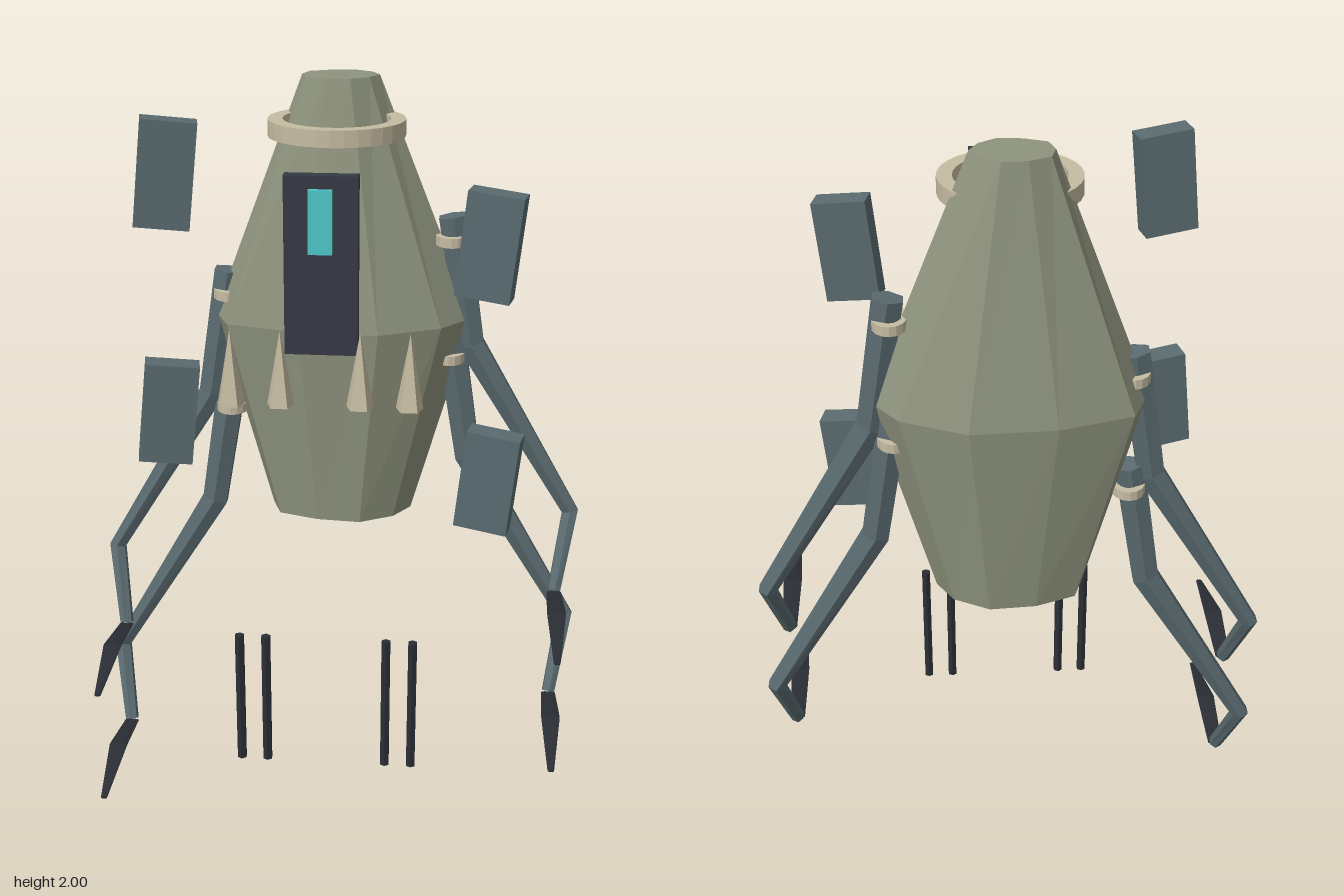
import * as THREE from 'three';

const mat = (name, color) => {
  const m = new THREE.MeshStandardMaterial({ color, flatShading: true });
  m.name = name;
  return m;
};

// Faceted solid through nodes [x, y, z, radiusU, radiusV]; u is the preferred cross-section axis
function loft(nodes, sides, uAxis, wobble = [], phase = 0) {
  const pts = nodes.map(n => new THREE.Vector3(n[0], n[1], n[2]));
  const rings = pts.map((p, i) => {
    const t = new THREE.Vector3();
    if (i > 0) t.add(p.clone().sub(pts[i - 1]).normalize());
    if (i < pts.length - 1) t.add(pts[i + 1].clone().sub(p).normalize());
    t.normalize();
    const u = uAxis.clone().addScaledVector(t, -uAxis.dot(t)).normalize();
    const v = t.clone().cross(u);
    return Array.from({ length: sides }, (_, k) => {
      const a = phase + (k / sides) * Math.PI * 2, w = wobble[k] ?? 1;
      return p.clone().addScaledVector(u, Math.cos(a) * nodes[i][3] * w)
        .addScaledVector(v, Math.sin(a) * nodes[i][4] * w);
    });
  });
  const out = [];
  const tri = (...c) => c.forEach(p => out.push(p.x, p.y, p.z));
  const last = rings.length - 1;
  for (let k = 0; k < sides; k++) {
    const n = (k + 1) % sides;
    for (let i = 0; i < last; i++) {
      const [a, b] = [rings[i], rings[i + 1]];
      tri(a[k], a[n], b[n]);
      tri(a[k], b[n], b[k]);
    }
    tri(pts[0], rings[0][n], rings[0][k]);
    tri(pts[last], rings[last][k], rings[last][n]);
  }
  const g = new THREE.BufferGeometry();
  g.setAttribute('position', new THREE.Float32BufferAttribute(out, 3));
  g.computeVertexNormals();
  return g;
}

// Flat band with a rectangular section
function band(inner, outer, height, segments) {
  const h = height / 2;
  const profile = [[inner, -h], [outer, -h], [outer, h], [inner, h], [inner, -h]];
  return new THREE.LatheGeometry(profile.map(p => new THREE.Vector2(...p)), segments);
}

export function createModel() {
  const model = new THREE.Group();
  model.name = 'walker';
  const hull = mat('olive grey', 0x8f947e);
  const steel = mat('slate', 0x5a6b70);
  const bone = mat('bone', 0xc6bca2);
  const dark = mat('charcoal', 0x363a43);
  const black = mat('near black', 0x2a2e34);
  const glow = mat('cyan', 0x4fc8c8);
  const X = new THREE.Vector3(1, 0, 0), Z = new THREE.Vector3(0, 0, 1);

  const add = (name, geometry, material, x = 0, y = 0, z = 0, parent = model) => {
    const m = new THREE.Mesh(geometry, material);
    m.name = name;
    m.position.set(x, y, z);
    parent.add(m);
    return m;
  };

  // Body: flattened ten-sided hull, widest above the middle
  const wobble = [1.01, 0.98, 1.03, 0.97, 1.04, 0.98, 1.04, 0.94, 1.02, 0.96];
  add('body', loft([
    [0.004, 0.735, -0.185, 0.205, 0.131],
    [0.004, 1.325, -0.185, 0.37, 0.197],
    [0, 2, -0.185, 0.106, 0.086],
  ], 10, X, wobble), hull);

  // Collar ring, half sunk into the hull
  add('collar', band(0.145, 0.185, 0.045, 32), bone, 0, 1.878, -0.085);

  // Four legs, each one step higher than the last
  for (let i = 0; i < 4; i++) {
    const s = i % 2 ? 1 : -1, b = i * 0.17;
    const leg = new THREE.Group();
    leg.name = s > 0 ? 'leftLeg' : 'rightLeg';
    leg.position.y = b;
    model.add(leg);
    add('limb', loft([
      [s * 0.315, 1.11, -0.185, 0.04, 0.046],
      [s * 0.375, 0.74, -0.185, 0.034, 0.042],
      [s * 0.682, 0.23, -0.187, 0.026, 0.027],
      [s * 0.642, 0.02, -0.08, 0.022, 0.02],
    ], 6, Z), steel);
    leg.add(model.children.pop());
    leg.children[0].parent = leg;
    add('toe', loft([
      [s * 0.642, 0.015, -0.08, 0.021, 0.003],
      [s * 0.642, 0.045, 0.11, 0.027, 0.003],
      [s * 0.638, 0.004, 0.33, 0.009, 0.003],
    ], 6, X), black, 0, 0, 0, leg);
    add('legClamp', band(0.042, 0.065, 0.027, 16), bone, s * 0.313, 1.045, -0.185, leg)
      .scale.x = 0.74;
  }

  // Floating side plates
  for (const [x, y] of [[-0.426, 1.79], [-0.44, 1.135], [0.42, 1.62], [0.436, 0.965]]) {
    add('sidePlate', new THREE.BoxGeometry(0.147, 0.28, 0.07), steel, x, y, 0.135)
      .rotation.set(0, x < 0 ? 0.2 : -0.2, -0.105);
  }

  // Chest panel with its lit window
  add('chestPanel', new THREE.BoxGeometry(0.187, 0.46, 0.036), dark, -0.003, 1.6, 0.298);
  add('window', new THREE.BoxGeometry(0.06, 0.162, 0.014), glow, -0.003, 1.718, 0.331);

  // Row of spikes below the panel
  for (const x of [-0.233, -0.105, 0.099, 0.226]) {
    add('spike', new THREE.ConeGeometry(0.037, 0.2, 5), bone, x, 1.342, 0.347).rotation.y = Math.PI;
  }

  // Hanging rods
  for (const x of [-0.248, -0.173, 0.167, 0.242]) {
    add('rod', new THREE.CylinderGeometry(0.014, 0.014, 0.4, 6), black, x, 0.296, 0.215);
  }
  return model;
}
